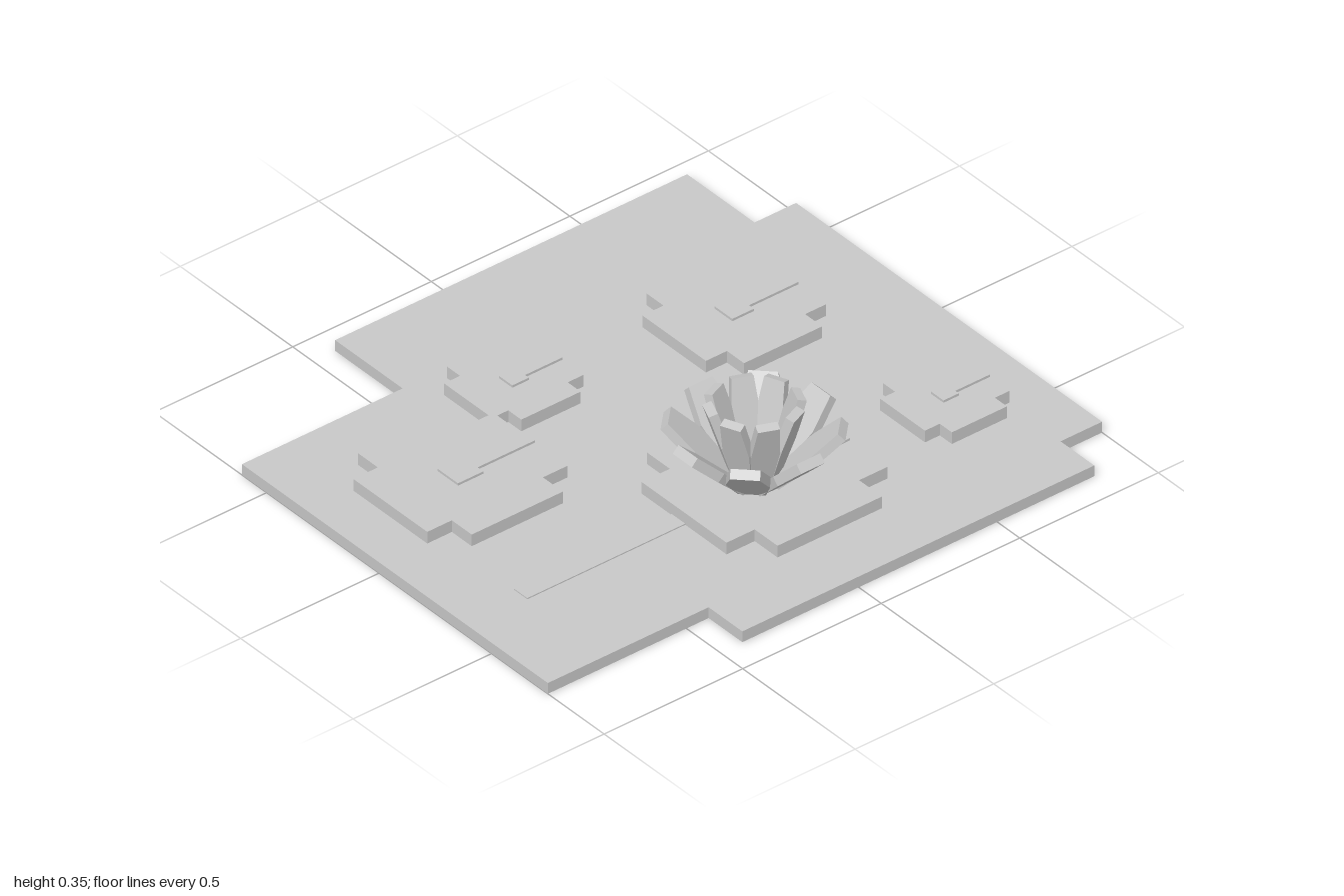
import * as THREE from 'three';

const stone = new THREE.MeshStandardMaterial({ color: 0xc8c8c8 });
stone.name = 'pale grey';

// Box given by its x, y and z limits
function slab(name, x0, x1, y0, y1, z0, z1) {
  const m = new THREE.Mesh(new THREE.BoxGeometry(x1 - x0, y1 - y0, z1 - z0), stone);
  m.position.set((x0 + x1) / 2, (y0 + y1) / 2, (z0 + z1) / 2);
  m.name = name;
  return m;
}

// Stepped plus-shaped plate: the arm along x spans x0..x1 / iz0..iz1,
// the arm along z spans ix0..ix1 / z0..z1
function plusPlate(name, [x0, x1, z0, z1], [ix0, ix1, iz0, iz1], y0, y1) {
  const pts = [
    [x0, iz0], [ix0, iz0], [ix0, z0], [ix1, z0], [ix1, iz0], [x1, iz0],
    [x1, iz1], [ix1, iz1], [ix1, z1], [ix0, z1], [ix0, iz1], [x0, iz1],
  ].map(([x, z]) => new THREE.Vector2(x, -z));
  const geo = new THREE.ExtrudeGeometry(new THREE.Shape(pts), { depth: y1 - y0, bevelEnabled: false });
  geo.rotateX(-Math.PI / 2);
  const m = new THREE.Mesh(geo, stone);
  m.position.y = y0;
  m.name = name;
  return m;
}

const BASE = 0.037, PAD = 0.077, RIB = 0.085;

// Floating leaf with a raised stem mark running to its +x edge
function lilyPad(cx, cz, R) {
  const g = new THREE.Group();
  g.name = 'lilyPad';
  const r = R * 0.65, s = R * 0.18, t = R * 0.08;
  g.add(plusPlate('leaf', [cx - R, cx + R, cz - R, cz + R], [cx - r, cx + r, cz - r, cz + r], BASE, PAD));
  g.add(slab('leafHub', cx - s, cx + s, PAD, RIB, cz - s, cz + s));
  g.add(slab('leafRib', cx + s, cx + R, PAD, RIB, cz - t, cz + t));
  return g;
}

// Ring of thick petals leaning from (r0, y0) out to (r1, y1)
function petalRing(name, count, turn, [r0, y0], [r1, y1], [wBase, wMid, wTip], thick) {
  const ring = new THREE.Group();
  ring.name = name;
  const len = Math.hypot(r1 - r0, y1 - y0);
  const shape = new THREE.Shape([
    [-wBase / 2, 0], [wBase / 2, 0], [wMid / 2, len * 0.6],
    [wTip / 2, len], [-wTip / 2, len], [-wMid / 2, len * 0.6],
  ].map(([x, y]) => new THREE.Vector2(x, y)));
  const geo = new THREE.ExtrudeGeometry(shape, { depth: thick, bevelEnabled: false });
  geo.translate(0, 0, -thick / 2);
  geo.rotateX(Math.atan2(r1 - r0, y1 - y0));
  geo.translate(0, y0, r0);
  for (let i = 0; i < count; i++) {
    const petal = new THREE.Mesh(geo, stone);
    petal.name = 'petal';
    petal.rotation.y = turn + (i / count) * Math.PI * 2;
    ring.add(petal);
  }
  return ring;
}

export function createModel() {
  const model = new THREE.Group();
  model.name = 'lilyPond';

  // Water slab
  model.add(plusPlate('water', [-1, 1, -0.91, 0.9], [-0.42, 0.85, -0.61, 0.75], 0, BASE));
  // Low ripple beside the flower
  model.add(slab('ripple', -0.79, -0.2, BASE - 0.01, BASE + 0.004, 0.34, 0.4));

  // Leaves: centre x, centre z, half size
  for (const [x, z, R] of [
    [-0.585, -0.15, 0.253], [-0.185, -0.405, 0.165], [0.505, -0.275, 0.217],
    [0.07, 0.395, 0.29], [0.705, 0.415, 0.153],
  ]) model.add(lilyPad(x, z, R));

  // Flower
  const flower = new THREE.Group();
  flower.name = 'flower';
  flower.position.set(0.033, 0, 0.396);
  flower.add(petalRing('outerPetals', 8, 0, [0.05, 0.075], [0.25, 0.27], [0.075, 0.125, 0.085], 0.03));
  flower.add(petalRing('innerPetals', 8, Math.PI / 8, [0.045, 0.075], [0.13, 0.345], [0.05, 0.085, 0.065], 0.028));
  model.add(flower);
  return model;
}
